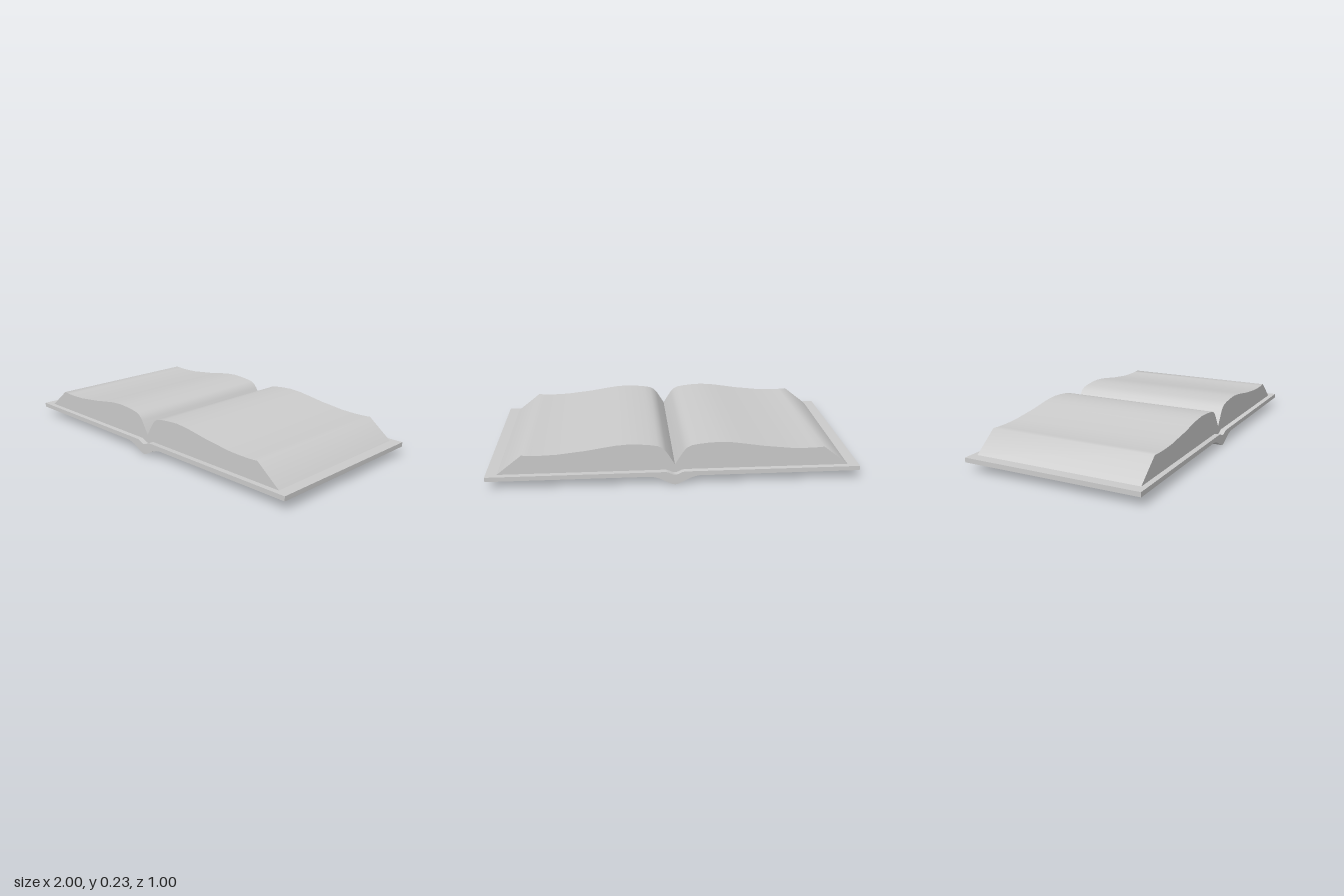
import * as THREE from 'three';
import { toCreasedNormals } from 'three/addons/utils/BufferGeometryUtils.js';

const material = new THREE.MeshStandardMaterial({ color: 0xcccccc });

// Mirrors a right-half line (spine to outer edge) into a full line from -x to +x.
function mirrored(half) {
  const left = half.filter(([x]) => x > 0).reverse().map(([x, y]) => [-x, y]);
  return [...left, ...half];
}

// Extrudes the section between a lower and an upper line, centred on z = 0.
function slab(name, lower, upper, depth) {
  const outline = [...mirrored(lower), ...mirrored(upper).reverse()];
  const shape = new THREE.Shape(outline.map(([x, y]) => new THREE.Vector2(x, y)));
  const geometry = new THREE.ExtrudeGeometry(shape, { depth, bevelEnabled: false });
  geometry.translate(0, 0, -depth / 2);
  const mesh = new THREE.Mesh(toCreasedNormals(geometry, 0.9), material);
  mesh.name = name;
  return mesh;
}

export function createModel() {
  const book = new THREE.Group();
  book.name = 'openBook';

  // Cover: flat boards joined by a rounded spine that dips to the ground
  const coverBottom = [[0, 0], [0.02, 0.005], [0.05, 0.02], [0.08, 0.036], [0.105, 0.045], [0.13, 0.05], [1, 0.05]];
  const coverTop = [[0, 0.058], [0.015, 0.061], [0.035, 0.071], [0.05, 0.075], [1, 0.075]];
  book.add(slab('cover', coverBottom, coverTop, 1));

  // Pages: two swelling leaves with a sharp gutter and slanted outer edges
  const pagesBottom = [...coverTop.slice(0, -1), [0.94, 0.075]];
  const pagesTop = [
    [0, 0.105], [0.045, 0.178], [0.065, 0.2], [0.09, 0.213], [0.13, 0.22], [0.18, 0.225], [0.24, 0.228],
    [0.31, 0.223], [0.39, 0.211], [0.47, 0.198], [0.55, 0.189], [0.62, 0.181], [0.7, 0.178],
    [0.76, 0.179], [0.805, 0.182], [0.938, 0.077],
  ];
  book.add(slab('pages', pagesBottom, pagesTop, 0.94));

  return book;
}
